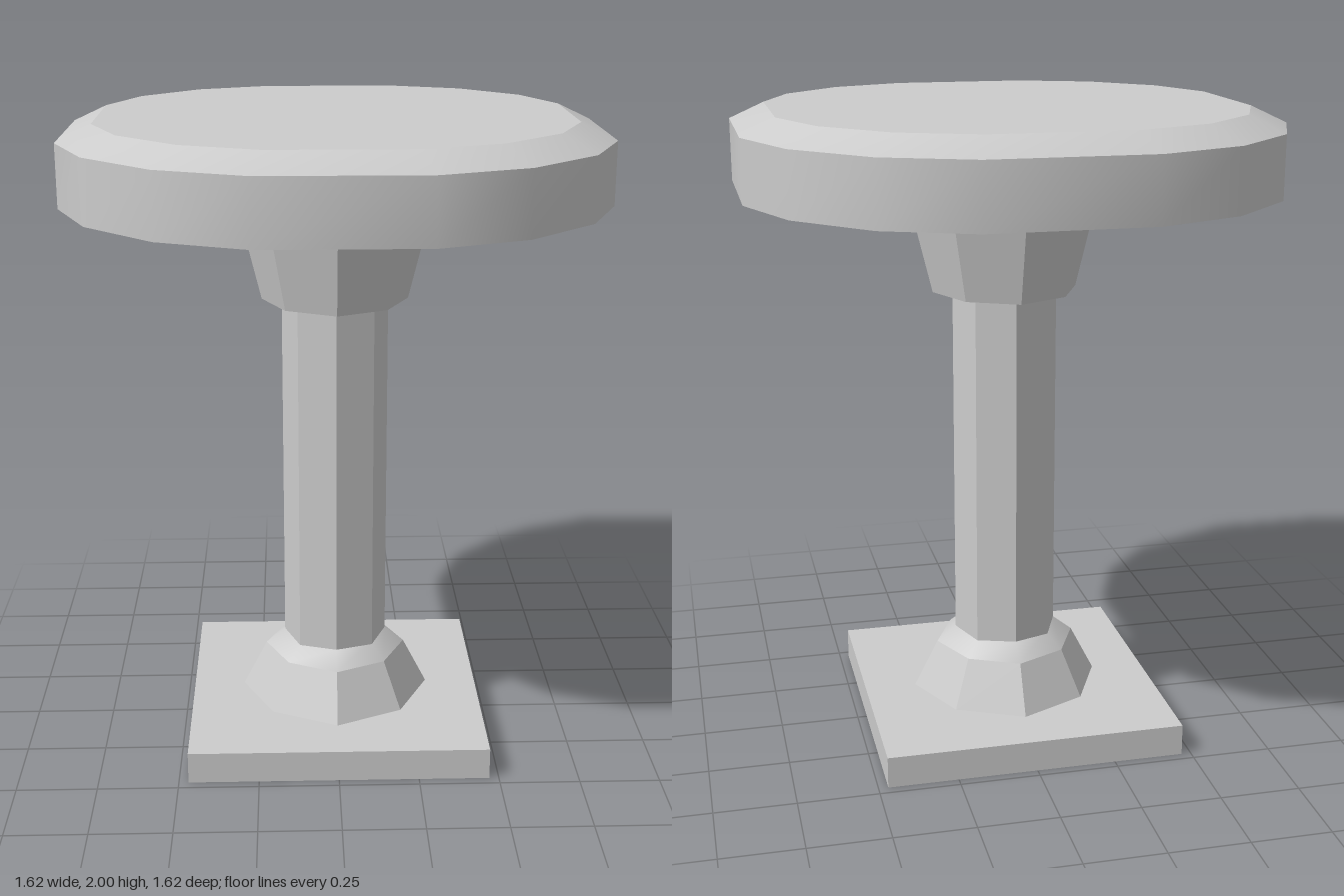
import * as THREE from 'three';
import { toCreasedNormals } from 'three/addons/utils/BufferGeometryUtils.js';

const grey = new THREE.MeshStandardMaterial({ color: 0xcccccc });

// Repeats a few [x, z] points of one quadrant four times around the y axis.
function outline(quadrant) {
  const points = [];
  for (let q = 0; q < 4; q++) {
    for (let [x, z] of quadrant) {
      for (let k = 0; k < q; k++) [x, z] = [z, -x];
      points.push([x, z]);
    }
  }
  return points;
}

// Stacks scaled copies of an outline; profile holds [scale, y] from bottom to top.
function loft(points, profile, crease) {
  const positions = [];
  const n = points.length;
  const corner = ([s, y], i) => [points[i % n][0] * s, y, points[i % n][1] * s];
  for (let r = 0; r < profile.length - 1; r++) {
    const a = profile[r], b = profile[r + 1];
    for (let i = 0; i < n; i++) {
      if (a[0] > 0) positions.push(...corner(a, i), ...corner(a, i + 1), ...corner(b, i + 1));
      if (b[0] > 0) positions.push(...corner(a, i), ...corner(b, i + 1), ...corner(b, i));
    }
  }
  const geometry = new THREE.BufferGeometry();
  geometry.setAttribute('position', new THREE.Float32BufferAttribute(positions, 3));
  return toCreasedNormals(geometry, crease);
}

export function createModel() {
  const model = new THREE.Group();
  model.name = 'stool';
  const add = (name, geometry, y = 0) => {
    const mesh = new THREE.Mesh(geometry, grey);
    mesh.name = name;
    mesh.position.y = y;
    model.add(mesh);
  };

  const round = outline([[0.24, 0.81], [0.5, 0.705], [0.705, 0.5], [0.81, 0.24]]);
  const octagon = outline([[0, 1], [0.68, 0.68]]);
  const flat = 0.1;

  // Square foot plate
  add('footPlate', new THREE.BoxGeometry(0.94, 0.1, 0.94), 0.05);

  // Flared foot with a softly shaded collar under the column
  add('footFlare', loft(octagon, [[0.305, 0.1], [0.228, 0.25]], flat));
  add('footCollar', loft(octagon, [[0.228, 0.25], [0.165, 0.3], [0, 0.3]], 0.6));

  // Eight-sided column
  const column = new THREE.CylinderGeometry(0.166, 0.166, 1.15, 8, 1, true);
  add('column', toCreasedNormals(column, flat), 0.865);

  // Bracket widening up to the seat
  add('seatBracket', loft(octagon, [[0, 1.43], [0.228, 1.43], [0.308, 1.755]], flat));

  // Sixteen-sided seat with bevelled top and slightly domed underside
  add('seat', loft(round, [[0, 1.745], [0.35, 1.747], [1, 1.76], [1, 1.95], [0.872, 2], [0, 2]], 0.42));

  return model;
}
